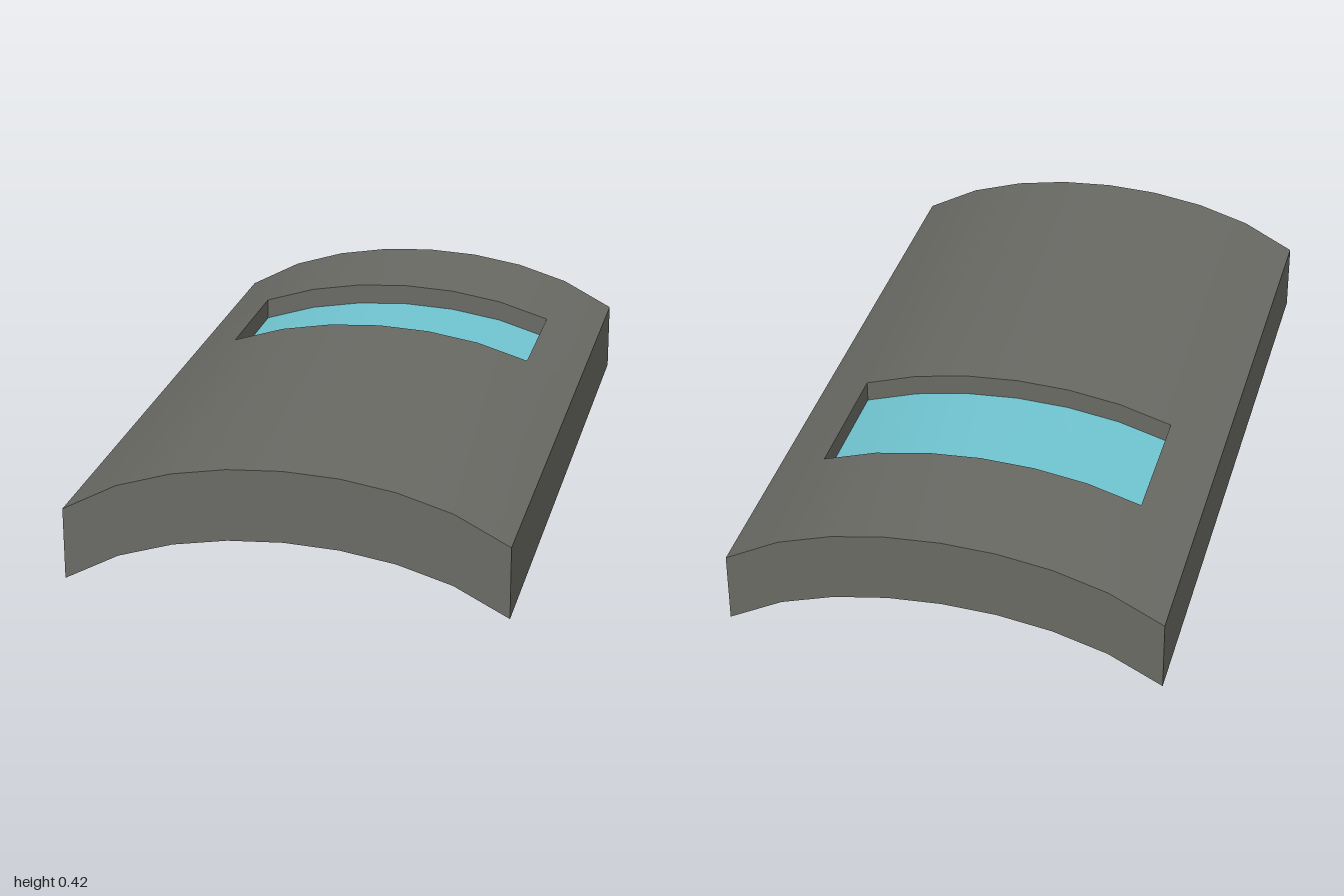
import * as THREE from 'three';
import { toCreasedNormals } from 'three/addons/utils/BufferGeometryUtils.js';

const STEP = 0.15;                                // width of one arch facet
const ARCH = [0.418, 0.41, 0.385, 0.339, 0.26];   // top height from centre to edge
const ROWS = [-1, -0.6, -0.2, 1];                 // z divisions around the window
const THICK = 0.2;

const archX = (i) => (i - 4) * STEP;
const archY = (i) => ARCH[Math.abs(i - 4)];
const inWindow = (c, r) => r === 1 && c >= 1 && c <= 6;
const inShell = (c, r) => c >= 0 && c < 8 && r >= 0 && r < 3 && !inWindow(c, r);

// Curved slab from the grid cells that pass the test, with walls along every border
function archedSlab(filled, topDrop, bottomDrop) {
  const pos = [];
  const top = (c, r) => [archX(c), archY(c) - topDrop, ROWS[r]];
  const low = (c, r) => [archX(c), archY(c) - bottomDrop, ROWS[r]];
  const quad = (a, b, c, d) => pos.push(...a, ...b, ...c, ...a, ...c, ...d);
  const wall = (c0, r0, c1, r1) => quad(low(c0, r0), low(c1, r1), top(c1, r1), top(c0, r0));
  for (let c = 0; c < 8; c++) {
    for (let r = 0; r < 3; r++) {
      if (!filled(c, r)) continue;
      quad(top(c, r), top(c, r + 1), top(c + 1, r + 1), top(c + 1, r));
      quad(low(c, r), low(c + 1, r), low(c + 1, r + 1), low(c, r + 1));
      if (!filled(c, r + 1)) wall(c, r + 1, c + 1, r + 1);
      if (!filled(c, r - 1)) wall(c + 1, r, c, r);
      if (!filled(c + 1, r)) wall(c + 1, r + 1, c + 1, r);
      if (!filled(c - 1, r)) wall(c, r, c, r + 1);
    }
  }
  const geo = new THREE.BufferGeometry();
  geo.setAttribute('position', new THREE.Float32BufferAttribute(pos, 3));
  return toCreasedNormals(geo, 0.6);
}

// Flared post whose top follows the underside of the arch
function postGeometry(side) {
  const geo = new THREE.BoxGeometry(1, 1, 1).toNonIndexed();
  const p = geo.attributes.position;
  for (let i = 0; i < p.count; i++) {
    const up = p.getY(i) > 0;
    const outer = p.getX(i) * side > 0;
    const x = up ? (outer ? 0.3 : 0.15) : (outer ? 0.27 : 0.18);
    const y = up ? ARCH[outer ? 2 : 1] - THICK : 0.035;
    p.setXYZ(i, side * x, y, 0.09 + p.getZ(i) * (up ? 0.1 : 0.06));
  }
  geo.computeVertexNormals();
  return geo;
}

export function createModel() {
  const model = new THREE.Group();
  model.name = 'archedPanel';
  const grey = new THREE.MeshStandardMaterial({ name: 'warm grey', color: 0x6b6b66 });
  const blue = new THREE.MeshStandardMaterial({ name: 'pale blue glass', color: 0x72c8d4 });

  const add = (parent, name, geo, mat) => {
    const mesh = new THREE.Mesh(geo, mat);
    mesh.name = name;
    parent.add(mesh);
    return mesh;
  };

  // Arched body and the recessed pane in its window
  add(model, 'archedShell', archedSlab(inShell, 0, THICK), grey);
  add(model, 'windowPane', archedSlab(inWindow, 0.06, 0.14), blue);

  // Pair of L-shaped hooks underneath
  for (const side of [1, -1]) {
    const hook = new THREE.Group();
    hook.name = side > 0 ? 'leftHook' : 'rightHook';
    add(hook, 'hookPost', postGeometry(side), grey);
    add(hook, 'hookFoot', new THREE.BoxGeometry(0.09, 0.035, 0.36), grey)
      .position.set(side * 0.225, 0.0175, 0.24);
    model.add(hook);
  }
  return model;
}
